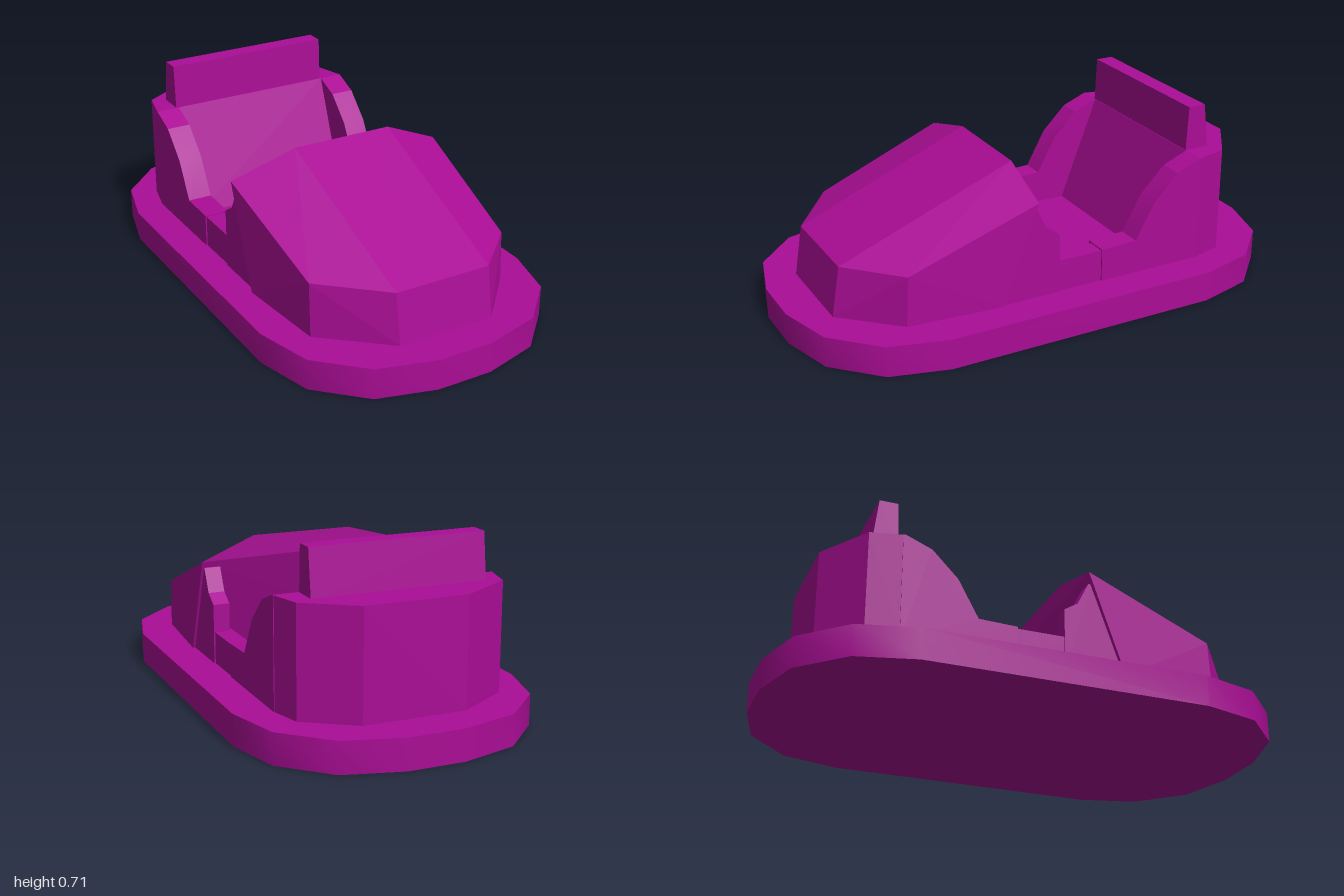
import * as THREE from 'three';
import { toCreasedNormals } from 'three/addons/utils/BufferGeometryUtils.js';
import { ConvexGeometry } from 'three/addons/geometries/ConvexGeometry.js';

const paint = new THREE.MeshStandardMaterial({ color: 0xaa0d95 });

const toShape = (pts) => new THREE.Shape(pts.map(([a, b]) => new THREE.Vector2(a, b)));

function extrude(pts, depth) {
  return new THREE.ExtrudeGeometry(toShape(pts), { depth, bevelEnabled: false });
}

// Outline of [x, z] points raised from y0 to y1
function plan(pts, y0, y1, crease) {
  const g = extrude(pts.map(([x, z]) => [x, -z]), y1 - y0);
  g.rotateX(-Math.PI / 2).translate(0, y0, 0);
  return toCreasedNormals(g, crease);
}

// Side profile of [z, y] points spanning x0 to x1
function profile(pts, x0, x1) {
  const g = extrude(pts, x1 - x0);
  g.rotateY(-Math.PI / 2).translate(x1, 0, 0);
  return toCreasedNormals(g, 0.3);
}

// Faceted solid around corner points
const hull = (pts) => new ConvexGeometry(pts.map((p) => new THREE.Vector3(...p)));

export function createModel() {
  const model = new THREE.Group();
  model.name = 'bumperCar';
  const add = (name, geometry) => {
    const mesh = new THREE.Mesh(geometry, paint);
    mesh.name = name;
    model.add(mesh);
  };

  // Rounded bumper slab, mirrored from one quarter outline
  const quarter = [[0.563, 0.547], [0.503, 0.773], [0.335, 0.938], [0.11, 1]];
  const flipped = [...quarter].reverse();
  add('bumper', plan([
    ...quarter,
    ...flipped.map(([x, z]) => [-x, z]),
    ...quarter.map(([x, z]) => [-x, -z]),
    ...flipped.map(([x, z]) => [x, -z]),
  ], 0, 0.12, 0.6));

  // Wedge hood with an undercut rear face
  add('hood', hull([
    [-0.46, 0.52, 0.13], [-0.19, 0.595, 0.13], [0.22, 0.595, 0.13], [0.435, 0.505, 0.13],
    [-0.42, 0.33, 0.64], [-0.18, 0.315, 0.825], [0.21, 0.315, 0.825], [0.405, 0.315, 0.64],
    [-0.42, 0.12, 0.65], [-0.18, 0.12, 0.857], [0.21, 0.12, 0.857], [0.405, 0.12, 0.65],
    [-0.455, 0.12, 0.27], [0.435, 0.12, 0.27],
  ]));

  // Rear body and sloping seat back
  add('rearBody', plan([
    [-0.44, -0.58], [-0.41, -0.71], [-0.2, -0.84],
    [0.2, -0.84], [0.39, -0.71], [0.425, -0.58],
  ], 0.12, 0.54, 0.3));
  add('seatBack', profile([
    [-0.6, 0.12], [-0.42, 0.12], [-0.58, 0.54], [-0.6, 0.54],
  ], -0.345, 0.33));

  // Tapered headrest bar
  add('headrest', hull([-0.355, 0.325].flatMap((x) => [
    [x, 0.53, -0.582], [x, 0.53, -0.685], [x, 0.715, -0.59], [x, 0.715, -0.662],
  ])));

  // Cockpit sides: rear fender, low sill and front pillar
  const fender = [[-0.59, 0.12], [-0.15, 0.12], [-0.15, 0.25], [-0.3, 0.255],
    [-0.38, 0.4], [-0.48, 0.5], [-0.58, 0.54], [-0.59, 0.54]];
  const sill = [[-0.16, 0.12], [0.06, 0.12], [0.06, 0.245], [-0.16, 0.245]];
  const pillar = [[0.035, 0.12], [0.29, 0.12], [0.15, 0.48], [0.135, 0.48],
    [0.09, 0.39], [0.035, 0.355]];
  add('rightFender', profile(fender, -0.44, -0.345));
  add('leftFender', profile(fender, 0.33, 0.425));
  add('rightSill', profile(sill, -0.435, -0.36));
  add('leftSill', profile(sill, 0.345, 0.42));
  add('rightPillar', profile(pillar, -0.44, -0.375));
  add('leftPillar', profile(pillar, 0.36, 0.425));

  return model;
}
